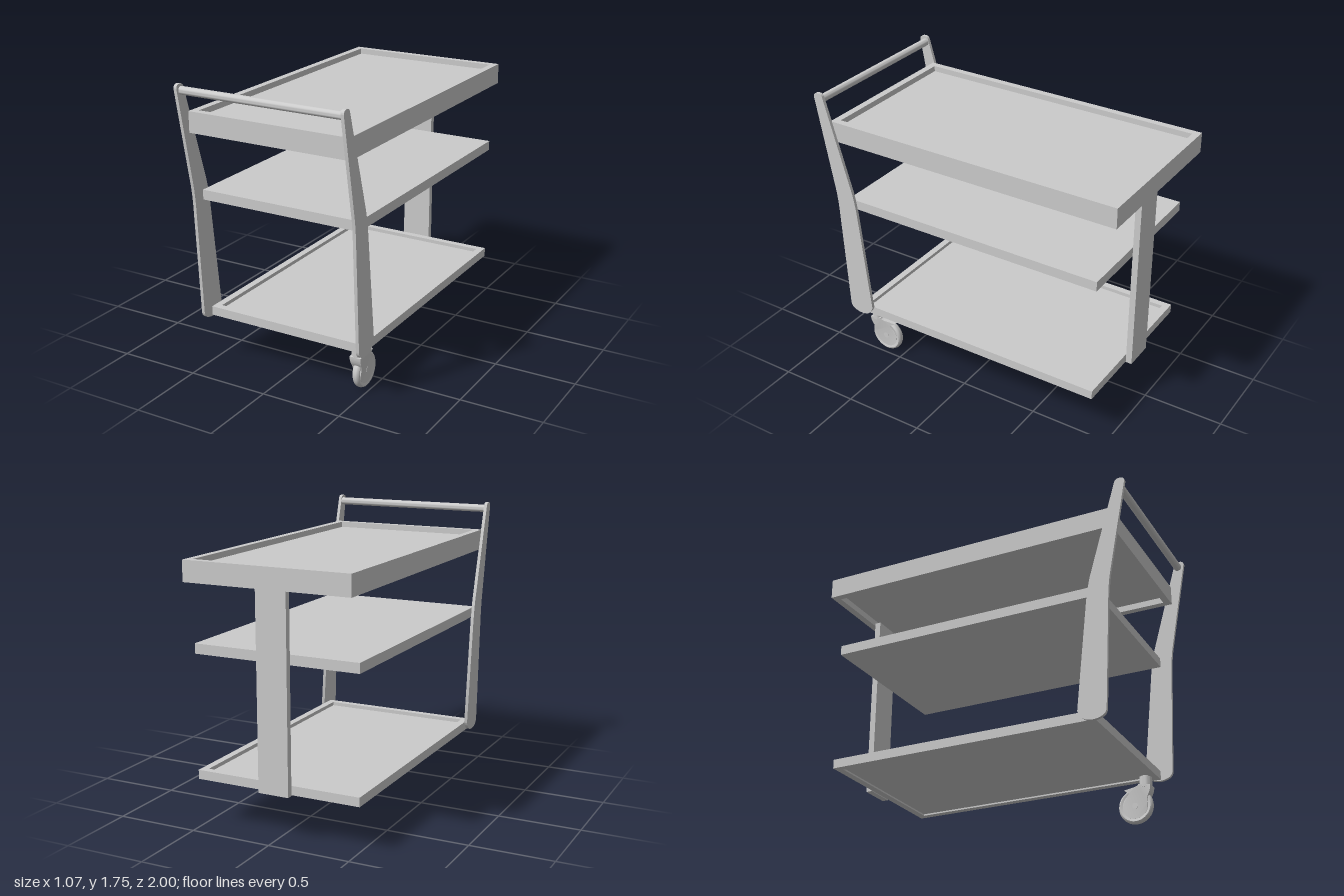
import * as THREE from 'three';
import { toCreasedNormals } from 'three/addons/utils/BufferGeometryUtils.js';

const material = new THREE.MeshStandardMaterial({ color: 0xcccccc });

function add(parent, name, geometry, x = 0, y = 0, z = 0) {
  const mesh = new THREE.Mesh(geometry, material);
  mesh.name = name;
  mesh.position.set(x, y, z);
  parent.add(mesh);
  return mesh;
}

// Box given by its limits on each axis
function slab(parent, name, [x0, x1], [y0, y1], [z0, z1]) {
  return add(parent, name, new THREE.BoxGeometry(x1 - x0, y1 - y0, z1 - z0),
    (x0 + x1) / 2, (y0 + y1) / 2, (z0 + z1) / 2);
}

// Side profile (z, y) extruded along x, centred on x = 0
function sideExtrude(shape, width) {
  const g = new THREE.ExtrudeGeometry(shape, { depth: width, bevelEnabled: false, curveSegments: 10 });
  g.translate(0, 0, -width / 2);
  g.rotateY(-Math.PI / 2);
  return g;
}

// Rectangular rim with a thinner floor panel set inside it
function tray(parent, name, halfX, [y0, y1], [z0, z1], rim, [f0, f1]) {
  const group = new THREE.Group();
  group.name = name;
  const outline = (Type, inset) => {
    const x = halfX - inset, a = -z1 + inset, b = -z0 - inset;
    return new Type([[-x, a], [x, a], [x, b], [-x, b]].map(p => new THREE.Vector2(...p)));
  };
  const shape = outline(THREE.Shape, 0);
  shape.holes.push(outline(THREE.Path, rim));
  const g = new THREE.ExtrudeGeometry(shape, { depth: y1 - y0, bevelEnabled: false });
  g.rotateX(-Math.PI / 2);
  add(group, name + 'Rim', g, 0, y0, 0);
  const x = halfX - rim;
  slab(group, name + 'Floor', [-x, x], [f0, f1], [z0 + rim, z1 - rim]);
  parent.add(group);
}

function legShape() {
  const s = new THREE.Shape();
  s.moveTo(0.84, 0.325);
  s.quadraticCurveTo(0.838, 0.295, 0.81, 0.283);
  s.quadraticCurveTo(0.76, 0.262, 0.71, 0.283);
  s.quadraticCurveTo(0.685, 0.3, 0.67, 0.335);
  s.lineTo(0.739, 0.97);
  s.quadraticCurveTo(0.748, 1.06, 0.768, 1.14);
  s.lineTo(0.937, 1.722);
  s.quadraticCurveTo(0.942, 1.743, 0.963, 1.745);
  s.quadraticCurveTo(1.0, 1.748, 1.0, 1.72);
  s.lineTo(0.889, 1.13);
  s.quadraticCurveTo(0.876, 1.05, 0.873, 0.96);
  s.closePath();
  return s;
}

function caster() {
  const group = new THREE.Group();
  group.name = 'caster';
  const v = (a, b) => new THREE.Vector2(a, b);

  // Wheel with a rounded tread and dished sides
  const half = [v(0, 0.016), v(0.075, 0.016), v(0.086, 0.02), v(0.096, 0.022), v(0.104, 0.016), v(0.108, 0.006)];
  const profile = [...half.map(p => v(p.x, -p.y)), ...half.slice().reverse()];
  const wheel = toCreasedNormals(new THREE.LatheGeometry(profile, 40), 0.6);
  wheel.rotateZ(Math.PI / 2);
  add(group, 'wheel', wheel, 0, 0.108, 0.625);

  // Swivel stem
  add(group, 'stem', toCreasedNormals(new THREE.CylinderGeometry(0.038, 0.038, 0.07, 28), 0.6), 0, 0.25, 0.693);

  // Hood that sweeps from the stem over the wheel and narrows to the hub
  const s = new THREE.Shape();
  s.moveTo(0.731, 0.225);
  s.quadraticCurveTo(0.73, 0.19, 0.713, 0.165);
  s.quadraticCurveTo(0.7, 0.14, 0.705, 0.11);
  s.absarc(0.625, 0.108, 0.08, 0, -Math.PI * 1.3, true);
  s.lineTo(0.59, 0.19);
  s.lineTo(0.557, 0.215);
  s.lineTo(0.625, 0.222);
  s.quadraticCurveTo(0.655, 0.225, 0.655, 0.235);
  s.closePath();
  const hood = sideExtrude(s, 2);
  const pos = hood.attributes.position;
  for (let i = 0; i < pos.count; i++) {
    const t = THREE.MathUtils.smoothstep(pos.getY(i), 0.05, 0.22);
    const tip = THREE.MathUtils.smoothstep(pos.getZ(i), 0.54, 0.68);
    pos.setX(i, pos.getX(i) * (0.019 + 0.017 * t * tip));
  }
  add(group, 'hood', toCreasedNormals(hood, 0.6));

  // Axle through the hub
  const axle = new THREE.CylinderGeometry(0.018, 0.018, 0.048, 20);
  axle.rotateZ(Math.PI / 2);
  add(group, 'axle', toCreasedNormals(axle, 0.6), 0, 0.108, 0.625);
  return group;
}

export function createModel() {
  const model = new THREE.Group();
  model.name = 'serviceCart';

  // Shelves
  tray(model, 'topTray', 0.517, [1.45, 1.575], [-1, 0.905], 0.043, [1.49, 1.54]);
  slab(model, 'middleShelf', [-0.517, 0.517], [1.025, 1.085], [-0.9, 0.805]);
  tray(model, 'bottomTray', 0.517, [0.28, 0.335], [-0.9, 0.765], 0.043, [0.29, 0.312]);

  // Single flat post at the back
  slab(model, 'backPost', [-0.095, 0.095], [0.275, 1.45], [-0.938, -0.9]);

  // Bent side legs
  const leg = toCreasedNormals(sideExtrude(legShape(), 0.02), 0.6);
  for (const side of [-1, 1]) add(model, side > 0 ? 'leftLeg' : 'rightLeg', leg, side * 0.526, 0, 0);

  // Push handle between the leg tops
  const bar = new THREE.CylinderGeometry(0.024, 0.024, 1.034, 28);
  bar.rotateZ(Math.PI / 2);
  add(model, 'handleBar', toCreasedNormals(bar, 0.6), 0, 1.706, 0.96);

  // One caster under the front left corner
  const wheel = caster();
  wheel.position.x = 0.448;
  model.add(wheel);
  return model;
}
